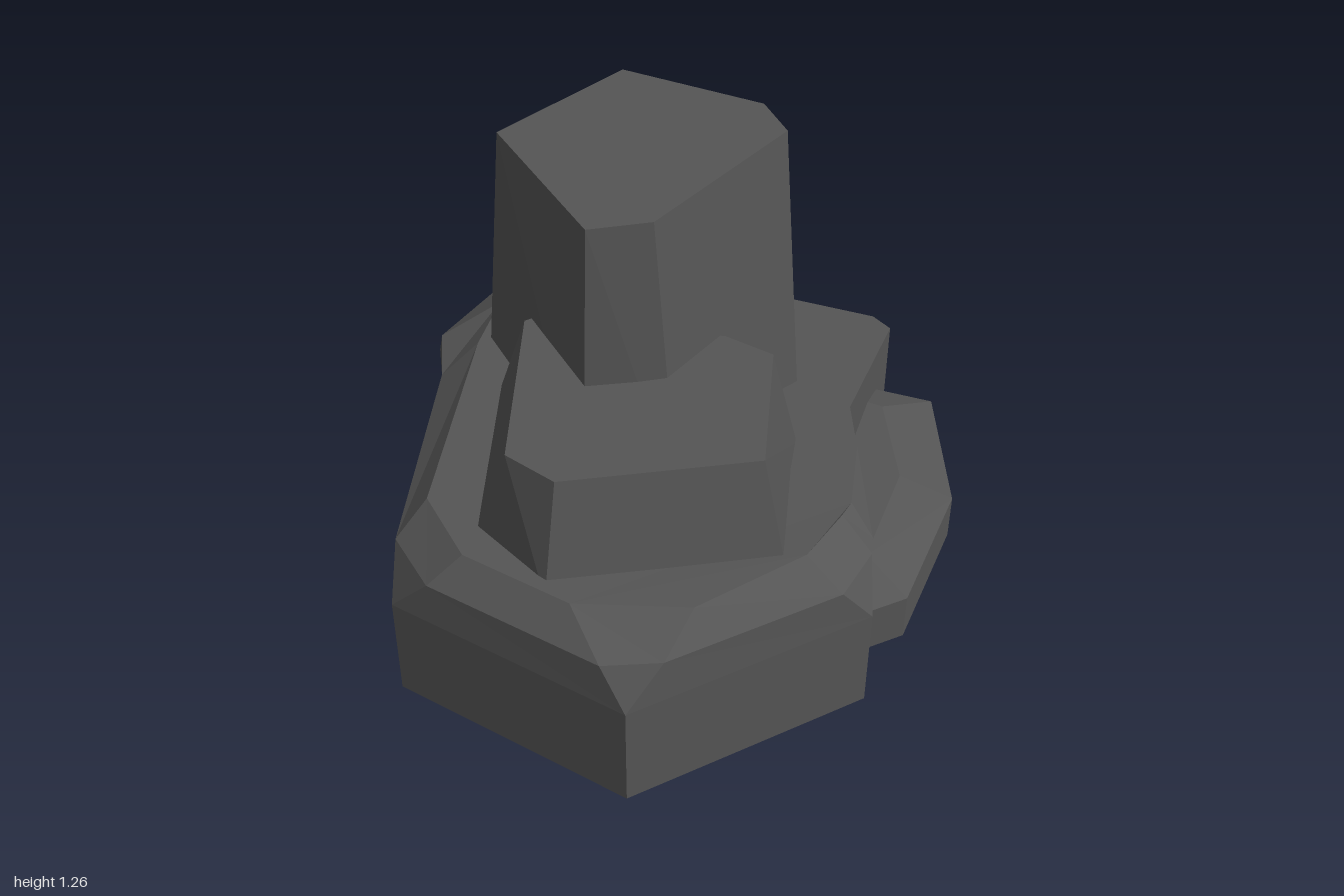
import * as THREE from 'three';

// Collects flat triangles, dropping those that have collapsed.
function addTri(out, a, b, c) {
  const [p, q, r] = [a, b, c].map(v => new THREE.Vector3(...v));
  if (q.clone().sub(p).cross(r.clone().sub(p)).length() < 1e-6) return;
  out.push(...a, ...b, ...c);
}

// Fills a ring of points so that it faces up (1) or down (-1).
function addCap(out, ring, up) {
  const flat = ring.map(p => new THREE.Vector2(p[0], p[2]));
  for (const [i, j, k] of THREE.ShapeUtils.triangulateShape(flat, [])) {
    const a = ring[i], b = ring[j], c = ring[k];
    const ny = (b[2] - a[2]) * (c[0] - a[0]) - (b[0] - a[0]) * (c[2] - a[2]);
    if (ny * up > 0) addTri(out, a, b, c);
    else addTri(out, a, c, b);
  }
}

// Lofts rings from bottom to top; topCaps lists the rings that close the top.
function rock(name, rings, material, topCaps = [rings[rings.length - 1]]) {
  const out = [];
  for (let r = 0; r + 1 < rings.length; r++) {
    const lo = rings[r], hi = rings[r + 1], n = lo.length;
    for (let i = 0; i < n; i++) {
      const j = (i + 1) % n;
      addTri(out, lo[i], hi[i], hi[j]);
      addTri(out, lo[i], hi[j], lo[j]);
    }
  }
  addCap(out, rings[0], -1);
  topCaps.forEach(ring => addCap(out, ring, 1));
  const geometry = new THREE.BufferGeometry();
  geometry.setAttribute('position', new THREE.Float32BufferAttribute(out, 3));
  geometry.computeVertexNormals();
  const mesh = new THREE.Mesh(geometry, material);
  mesh.name = name;
  return mesh;
}

const level = (y, points) => points.map(([x, z]) => [x, y, z]);

export function createModel() {
  const group = new THREE.Group();
  group.name = 'rockFormation';
  const stone = new THREE.MeshStandardMaterial({ color: 0x555555, flatShading: true });
  stone.name = 'darkStone';

  // Base slab columns: wall top, bevel point, top edge (the last two may coincide)
  const columns = [
    [[-0.03, 0.32, -1]],
    [[0.06, 0.325, -0.98]],
    [[0.36, 0.45, -0.42]],
    [[0.53, 0.489, -0.25]],
    [[0.80, 0.44, 0], [0.80, 0.475, 0], [0.72, 0.545, 0]],
    [[0.92, 0.36, 0.13], [0.84, 0.475, 0.05], [0.74, 0.55, 0.06]],
    [[0.92, 0.36, 0.13], [0.89, 0.475, 0.22], [0.78, 0.55, 0.24]],
    [[0.73, 0.36, 0.82], [0.75, 0.475, 0.71], [0.72, 0.55, 0.58]],
    [[0.73, 0.36, 0.82], [0.65, 0.475, 0.83], [0.50, 0.55, 0.79]],
    [[0.03, 0.36, 1], [0.14, 0.475, 0.96], [0.18, 0.55, 0.87]],
    [[0.03, 0.36, 1], [-0.06, 0.475, 0.91], [-0.06, 0.55, 0.80]],
    [[-0.57, 0.46, 0.37], [-0.57, 0.475, 0.37], [-0.54, 0.55, 0.25]],
    [[-0.92, 0.28, 0.13], [-0.74, 0.475, 0.24], [-0.67, 0.55, 0.06]],
    [[-0.92, 0.28, 0.13], [-0.84, 0.475, -0.08], [-0.67, 0.55, 0.06]],
    [[-0.79, 0.495, -0.22]],
    [[-0.65, 0.419, -0.56]],
  ];
  const ringAt = k => columns.map(c => c[Math.min(k, c.length - 1)]);
  const wall = ringAt(0), top = ringAt(2);
  const foot = wall.map(([x, , z]) => [x, 0.06, z]);
  const sole = wall.map(([x, , z]) => [x * 0.925, 0, z * 0.94]);
  // Flat front top and sloping back top meet along a crease
  const frontTop = top.slice(4, 13);
  const backTop = [...top.slice(13), ...top.slice(0, 5)];
  group.add(rock('baseSlab', [sole, foot, wall, ringAt(1), top], stone, [frontTop, backTop]));

  // Low slab at the back left
  const low = [[0.14, -0.82], [0.31, -0.90], [0.66, -0.56], [0.84, -0.13], [0.79, 0.02], [0.35, -0.1], [0.08, -0.6]];
  const lowSole = [[0.16, -0.78], [0.31, -0.84], [0.62, -0.53], [0.79, -0.13], [0.76, 0], [0.35, -0.1], [0.08, -0.6]];
  const lowTop = [[0.20, -0.69], [0.26, -0.71], [0.52, -0.48], [0.68, -0.14], [0.66, -0.06], [0.35, -0.1], [0.08, -0.6]];
  group.add(rock('lowSideSlab', [level(0.02, lowSole), level(0.06, low), level(0.2, low), level(0.25, lowTop)], stone));

  // Middle block
  group.add(rock('middleBlock', [
    level(0.5, [[0.19, -0.08], [0.41, -0.13], [0.755, 0.285], [0.405, 0.79], [0.105, 0.78], [-0.34, 0.34], [-0.33, 0.26]]),
    level(0.805, [[0.21, -0.04], [0.36, -0.07], [0.66, 0.28], [0.365, 0.71], [0.20, 0.73], [-0.23, 0.31], [-0.22, 0.26]]),
  ], stone));

  // Tall block
  group.add(rock('tallBlock', [
    level(0.42, [[-0.61, -0.33], [-0.06, -0.545], [0.17, -0.40], [0.28, 0.21], [0.13, 0.42], [-0.55, 0.205]]),
    level(1.26, [[-0.52, -0.335], [-0.075, -0.47], [0.085, -0.395], [0.195, 0.215], [0.105, 0.365], [-0.46, 0.19]]),
  ], stone));

  return group;
}
